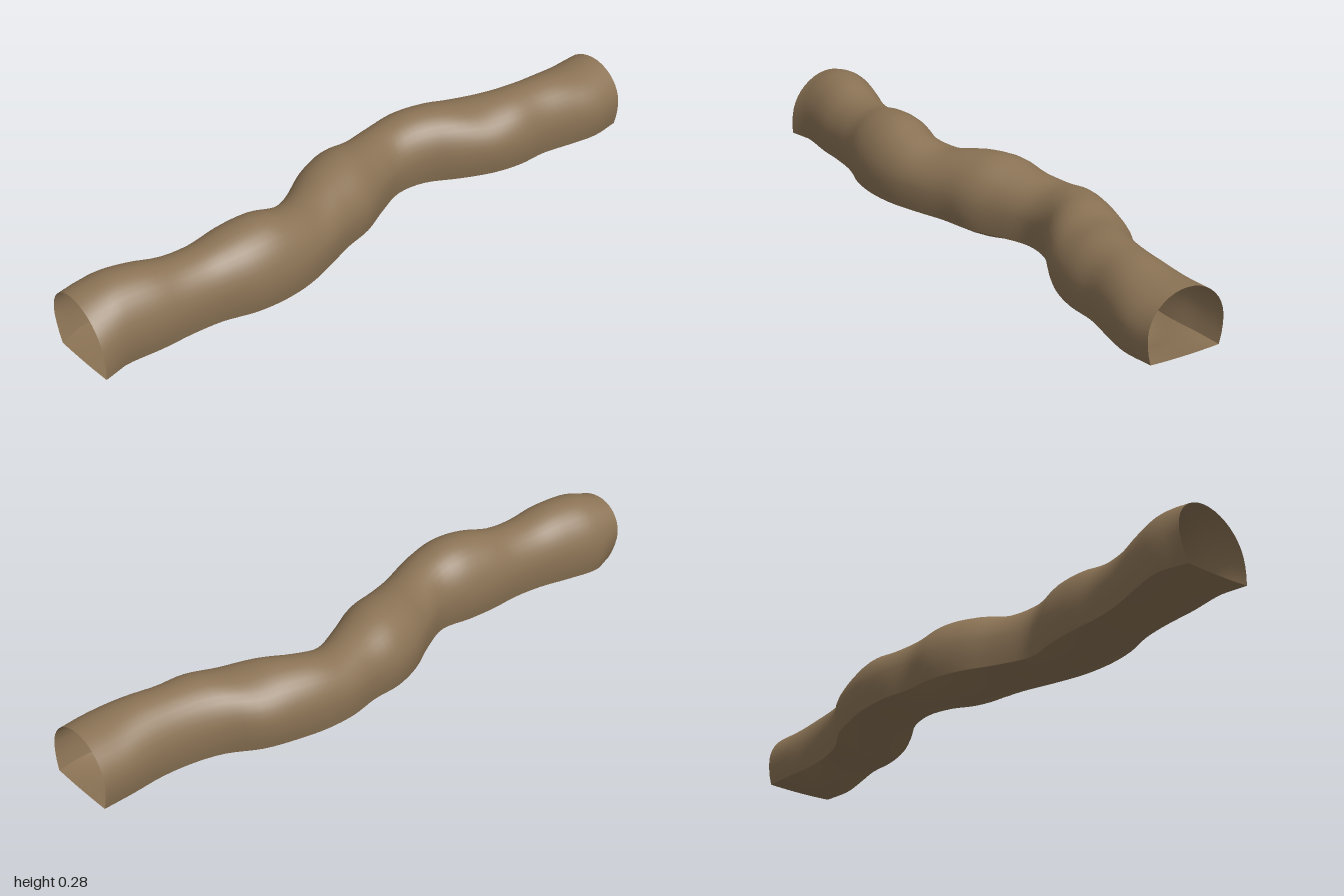
import * as THREE from 'three';

// Rows every 0.1 from the back (z = -1) to the front (z = 1): left edge, right edge, crown height, floor centre height
const ROWS = [
  [-0.09, 0.16, 0.24, 0.04], [-0.085, 0.172, 0.24, 0.02], [-0.075, 0.155, 0.25, 0],
  [-0.08, 0.135, 0.25, 0.025], [-0.105, 0.135, 0.25, 0.04], [-0.16, 0.115, 0.24, 0.015],
  [-0.187, 0.07, 0.25, 0.02], [-0.202, 0.015, 0.243, 0.035], [-0.2, 0.005, 0.225, 0.035],
  [-0.18, 0.045, 0.235, 0.015], [-0.175, 0.095, 0.255, 0], [-0.14, 0.12, 0.248, 0.02],
  [-0.08, 0.155, 0.23, 0.035], [-0.036, 0.185, 0.25, 0.025], [-0.05, 0.198, 0.275, 0.018],
  [-0.055, 0.19, 0.268, 0.025], [-0.05, 0.16, 0.245, 0.038], [-0.06, 0.15, 0.245, 0.04],
  [-0.085, 0.15, 0.265, 0.035], [-0.105, 0.142, 0.268, 0.036], [-0.095, 0.14, 0.242, 0.04],
];
const RINGS = 80;
const CORNER_Y = 0.043, WIDEST_Y = 0.12;
const LOW = THREE.MathUtils.degToRad(25);

const makeCurve = (a, b) => new THREE.CatmullRomCurve3(
  ROWS.map((r, i) => new THREE.Vector3(r[a], r[b], i / 10 - 1)), false, 'catmullrom');
const sides = makeCurve(0, 1), heights = makeCurve(2, 3);

// Smooth sheet swept along z; section(s, ring) gives [x, y] across it
function sweep(section, across) {
  const pos = [], index = [];
  for (let i = 0; i <= RINGS; i++) {
    const t = i / RINGS, z = t * 2 - 1;
    const e = sides.getPoint(t), h = heights.getPoint(t);
    const ring = {
      cx: (e.x + e.y) / 2, hw: (e.y - e.x) / 2, top: h.x,
      bottom: Math.max(0, Math.min(h.y, CORNER_Y)),
      skew: 0.02 * Math.max(0, (z - 0.92) / 0.08), // slight lean of the front mouth
    };
    for (let j = 0; j <= across; j++) {
      const [x, y] = section(j / across, ring);
      pos.push(x + ring.skew * (1 - (y - 0.04) / 0.1), y, z);
    }
  }
  const w = across + 1;
  for (let i = 0; i < RINGS; i++) for (let j = 0; j < across; j++) {
    const p = i * w + j;
    index.push(p, p + 1, p + w, p + 1, p + w + 1, p + w);
  }
  const g = new THREE.BufferGeometry();
  g.setAttribute('position', new THREE.Float32BufferAttribute(pos, 3));
  g.setIndex(index);
  g.computeVertexNormals();
  return g;
}

// Horseshoe arch, tucking in slightly towards the floor corners
function archSection(s, r) {
  const a = -LOW + s * (Math.PI + 2 * LOW), k = Math.sin(a);
  const y = k > 0 ? (r.top - WIDEST_Y) * k : (WIDEST_Y - CORNER_Y) * k / Math.sin(LOW);
  return [r.cx + r.hw * Math.cos(a), WIDEST_Y + y];
}

// Floor sagging between the two corners
function floorSection(s, r) {
  const u = 2 * s - 1;
  return [r.cx + r.hw * Math.cos(LOW) * u, CORNER_Y - (CORNER_Y - r.bottom) * (1 - u * u)];
}

export function createModel() {
  const model = new THREE.Group();
  model.name = 'tunnel';
  const rock = new THREE.MeshStandardMaterial({ color: 0x8b7355, side: THREE.DoubleSide });
  rock.name = 'brown rock';

  const arch = new THREE.Mesh(sweep(archSection, 24), rock);
  arch.name = 'archedWall';
  const floor = new THREE.Mesh(sweep(floorSection, 10), rock);
  floor.name = 'floor';
  model.add(arch, floor);
  return model;
}
